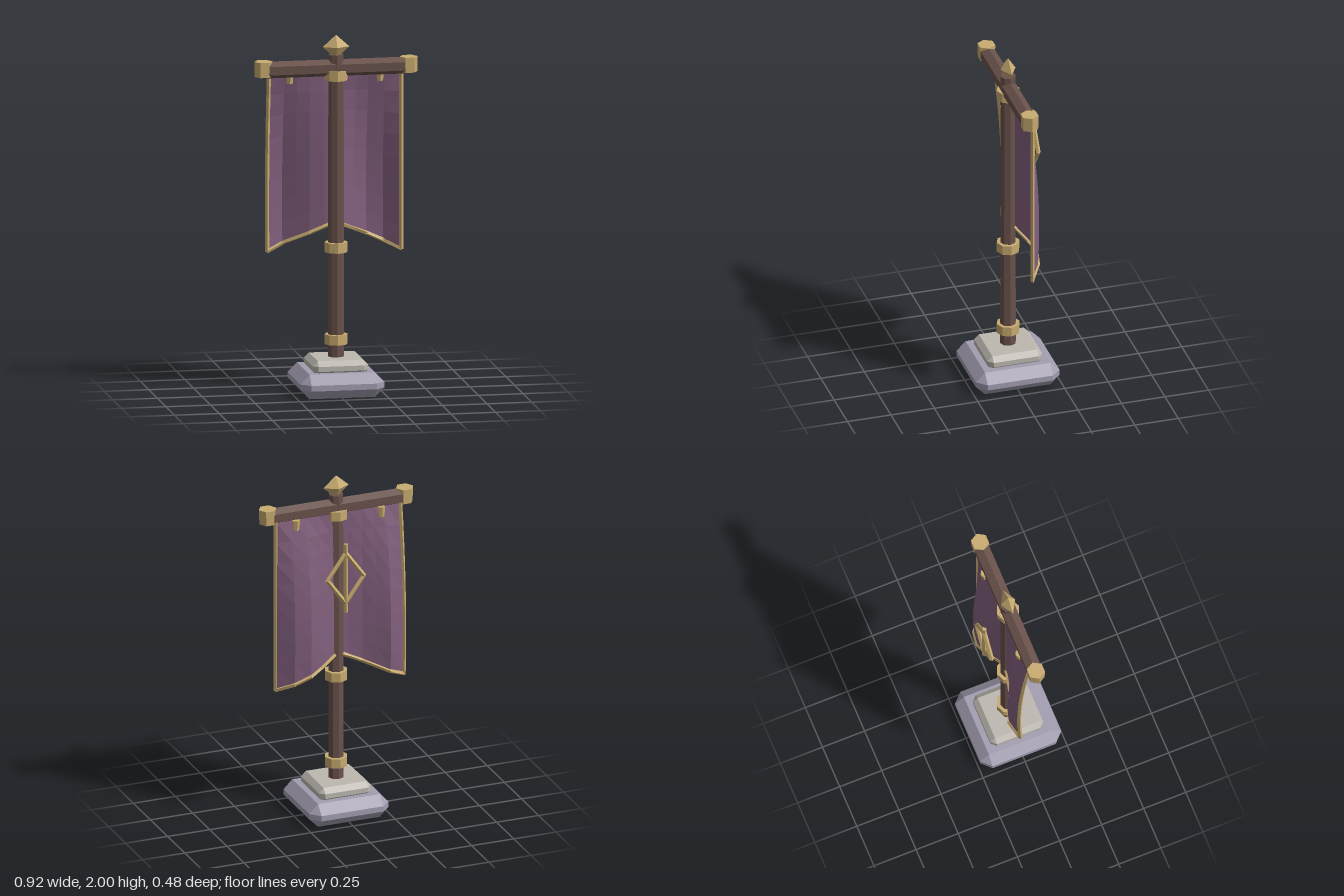
import * as THREE from 'three';
import { ConvexGeometry } from 'three/addons/geometries/ConvexGeometry.js';

const mat = (name, color, side = THREE.FrontSide) =>
  new THREE.MeshStandardMaterial({ name, color, side, flatShading: true });

export function createModel() {
  const wood = mat('dark wood', 0x6a524b);
  const gold = mat('gold', 0xc8ab70);
  const slate = mat('slate stone', 0xa29db0);
  const pale = mat('pale stone', 0xbdb8b0);
  const purple = mat('purple cloth', 0x83607e, THREE.DoubleSide);

  const group = new THREE.Group();
  const add = (name, geometry, material, x = 0, y = 0, z = 0, parent = group) => {
    const mesh = new THREE.Mesh(geometry, material);
    mesh.name = name;
    mesh.position.set(x, y, z);
    parent.add(mesh);
    return mesh;
  };

  // Block with every edge and corner chamfered by e
  const chamferBox = (a, b, c, e) => {
    const points = [];
    for (const x of [-1, 1]) for (const y of [-1, 1]) for (const z of [-1, 1]) {
      points.push(
        new THREE.Vector3(x * a, y * (b - e), z * (c - e)),
        new THREE.Vector3(x * (a - e), y * b, z * (c - e)),
        new THREE.Vector3(x * (a - e), y * (b - e), z * c));
    }
    return new ConvexGeometry(points);
  };

  // Square rod running between two points
  const rod = (name, a, b, r, parent) => {
    const dir = b.clone().sub(a);
    const mesh = add(name, new THREE.CylinderGeometry(r, r, dir.length() + r * 0.6, 4), gold, 0, 0, 0, parent);
    mesh.position.copy(a).add(b).multiplyScalar(0.5);
    mesh.quaternion.setFromUnitVectors(new THREE.Vector3(0, 1, 0), dir.normalize());
    return mesh;
  };

  // Stepped stone base
  add('lowerBase', chamferBox(0.235, 0.068, 0.24, 0.052), slate, 0, 0.068, 0);
  add('upperBase', chamferBox(0.155, 0.042, 0.157, 0.028), pale, 0, 0.158, 0);

  // Pole with its gold rings and pointed finial
  add('pole', new THREE.CylinderGeometry(0.043, 0.045, 1.72, 8), wood, 0, 1.03, 0);
  for (const y of [0.297, 0.812, 1.775]) {
    add('poleRing', new THREE.CylinderGeometry(0.065, 0.065, 0.055, 8), gold, 0, y, 0);
  }
  add('finial', new THREE.OctahedronGeometry(1), gold, 0, 1.933, 0).scale.set(0.075, 0.067, 0.043);

  // Crossbar and end caps
  const bar = add('crossbar', new THREE.CylinderGeometry(0.047, 0.047, 0.78, 6), wood, -0.01, 1.816, 0);
  bar.rotation.set(Math.PI / 2, 0, Math.PI / 2);
  bar.geometry.rotateY(Math.PI / 2);
  bar.rotation.set(0, 0, Math.PI / 2);
  for (const s of [-1, 1]) {
    const cap = add('crossbarCap', new THREE.CylinderGeometry(0.051, 0.048, 0.085, 6), gold, s * 0.407, 1.822, 0);
    cap.rotation.y = Math.PI / 6;
  }

  // Cloth: [x, depth of the fold where it is fullest]
  const folds = [
    [-0.37, -0.085], [-0.28, -0.117], [-0.21, -0.08], [-0.14, -0.045], [-0.06, -0.025], [0, -0.02],
    [0.05, -0.045], [0.12, -0.085], [0.19, -0.113], [0.28, -0.094], [0.37, -0.027],
  ];
  const rows = 8, cols = folds.length - 1;
  const clothPoint = (i, j) => {
    const [x, depth] = folds[i];
    const t = j / rows;
    const bottom = 0.95 - 0.165 * Math.abs(x) / 0.37;
    const fullness = 1 - (1 - t / 0.75) ** 2;
    return new THREE.Vector3(x, THREE.MathUtils.lerp(1.79, bottom, t),
      THREE.MathUtils.lerp(-0.028, depth, fullness));
  };
  const cloth = new THREE.PlaneGeometry(1, 1, cols, rows);
  for (let j = 0; j <= rows; j++) for (let i = 0; i <= cols; i++) {
    cloth.attributes.position.setXYZ(j * (cols + 1) + i, ...clothPoint(i, j).toArray());
  }
  cloth.computeVertexNormals();
  add('bannerCloth', cloth, purple);

  // Gold trim along the sides and the notched lower edge
  const trim = new THREE.Group();
  trim.name = 'bannerTrim';
  group.add(trim);
  for (const i of [0, cols]) for (let j = 0; j < rows; j++) {
    rod('sideTrim', clothPoint(i, j), clothPoint(i, j + 1), 0.012, trim);
  }
  for (let i = 0; i < cols; i++) {
    rod('lowerTrim', clothPoint(i, rows), clothPoint(i + 1, rows), 0.012, trim);
  }

  // Clips holding the cloth
  for (const s of [-1, 1]) {
    add('clothClip', new THREE.CylinderGeometry(0.024, 0.018, 0.06, 6), gold, s * 0.253, 1.758, -0.036);
  }

  // Diamond ornament with an upright, behind the cloth
  const ornament = new THREE.Group();
  ornament.name = 'ornament';
  ornament.position.set(0, 1.44, -0.141);
  group.add(ornament);
  const v = (x, y) => new THREE.Vector3(x, y, 0);
  rod('upright', v(0, -0.2), v(0, 0.2), 0.013, ornament);
  const corners = [v(0.108, 0), v(0, 0.15), v(-0.108, 0), v(0, -0.15)];
  corners.forEach((c, i) => rod('diamondSide', c, corners[(i + 1) % 4], 0.013, ornament));

  return group;
}
